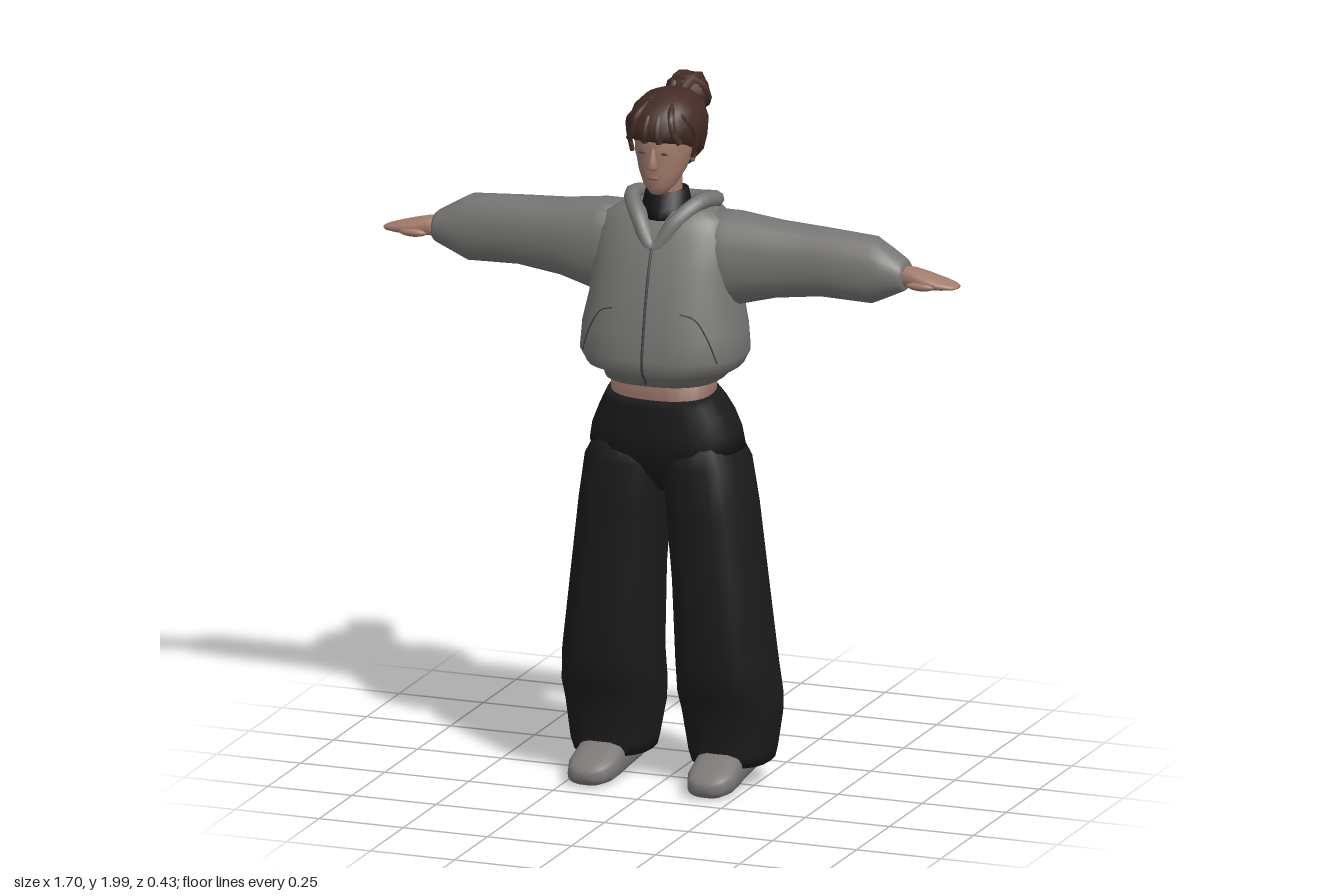
import * as THREE from 'three';

const mat = (name, color) => {
  const m = new THREE.MeshStandardMaterial({ color });
  m.name = name;
  return m;
};
const M = {
  jacket: mat('jacketGrey', 0x777674), seam: mat('seamGrey', 0x3c3b3a),
  pants: mat('trouserBlack', 0x1b1b1b), shoe: mat('shoeGrey', 0x7c7977),
  skin: mat('skin', 0xa37c6c), hair: mat('hairBrown', 0x442c26),
  collar: mat('collarBlack', 0x131315), lips: mat('lips', 0x8f5f56), eye: mat('eyeBrown', 0x5a4238),
};

// Axis order: along, first cross direction, second cross direction
const AXES = { y: [1, 0, 2], x: [0, 2, 1], z: [2, 1, 0] };

// Closed skin through superellipse sections [t, cu, cv, ru, rv, slope]
function loft(axis, sections, n = 2.4, seg = 20) {
  const [ia, iu, iv] = AXES[axis], pos = [], idx = [];
  const put = (t, u, v) => {
    const p = [0, 0, 0];
    p[ia] = t; p[iu] = u; p[iv] = v;
    pos.push(...p);
  };
  const pw = (c) => Math.sign(c) * Math.abs(c) ** (2 / n);
  for (const [t, cu, cv, ru, rv, slope = 0] of sections)
    for (let j = 0; j < seg; j++) {
      const a = (j / seg) * Math.PI * 2, v = rv * pw(Math.sin(a));
      put(t + slope * v, cu + ru * pw(Math.cos(a)), cv + v);
    }
  const last = sections.length - 1, base = pos.length / 3;
  for (const s of [sections[0], sections[last]]) put(s[0], s[1], s[2]);
  for (let j = 0; j < seg; j++) {
    const k = (j + 1) % seg;
    for (let i = 0; i < last; i++) {
      const a = i * seg + j, b = i * seg + k;
      idx.push(a, a + seg, b, b, a + seg, b + seg);
    }
    idx.push(base, j, k, base + 1, last * seg + k, last * seg + j);
  }
  const g = new THREE.BufferGeometry();
  g.setAttribute('position', new THREE.Float32BufferAttribute(pos, 3));
  g.setIndex(idx);
  g.computeVertexNormals();
  return g;
}

const curve = (pts, closed = false) =>
  new THREE.CatmullRomCurve3(pts.map((p) => new THREE.Vector3(...p)), closed);
const tube = (pts, r, closed = false, segs = 16, sides = 6) =>
  new THREE.TubeGeometry(curve(pts, closed), segs, r, sides, closed);
const blob = (x, y, z, rx, ry, rz, w = 14, h = 10) =>
  new THREE.SphereGeometry(1, w, h).scale(rx, ry, rz).translate(x, y, z);

const TORSO_N = 2.5;
const TORSO = [
  [1.172, 0, 0.02, 0.165, 0.16], [1.2, 0, 0.025, 0.172, 0.168], [1.21, 0, 0.03, 0.215, 0.177],
  [1.25, 0, 0.035, 0.237, 0.18], [1.32, 0, 0.033, 0.232, 0.172], [1.4, 0, 0.026, 0.215, 0.163],
  [1.5, 0, 0.015, 0.207, 0.147], [1.58, 0, 0.008, 0.203, 0.122], [1.63, 0, 0.005, 0.18, 0.098],
  [1.655, 0, 0.005, 0.125, 0.075], [1.665, 0, 0.008, 0.07, 0.05],
];

// Point on the front of the jacket
function onJacket(x, y) {
  let i = 0;
  while (i < TORSO.length - 2 && TORSO[i + 1][0] < y) i++;
  const a = TORSO[i], b = TORSO[i + 1], f = (y - a[0]) / (b[0] - a[0]);
  const [, , cz, rx, rz] = a.map((v, k) => v + (b[k] - v) * f);
  const c = Math.max(0, 1 - Math.abs(x / rx) ** TORSO_N);
  return [x, y, cz + rz * c ** (1 / TORSO_N)];
}

export function createModel() {
  const root = new THREE.Group();
  root.name = 'figure';
  const add = (name, geo, material) => {
    const m = new THREE.Mesh(geo, material);
    m.name = name;
    root.add(m);
    return m;
  };

  // Jacket body and zip
  add('jacketBody', loft('y', TORSO, TORSO_N, 28), M.jacket);
  const zipY = [1.18, 1.2, 1.21, 1.25, 1.32, 1.4, 1.5, 1.56];
  add('zip', tube(zipY.map((y) => onJacket(0, y)), 0.004, false, 30), M.seam);

  // Hood hanging down the back, with its rim forming the front V
  add('hoodBag', loft('y', [
    [1.41, 0, -0.06, 0.06, 0.07], [1.47, 0, -0.065, 0.11, 0.095], [1.53, 0, -0.075, 0.13, 0.11],
    [1.58, 0, -0.08, 0.135, 0.127], [1.615, 0, -0.08, 0.13, 0.125, 0.1], [1.645, 0, -0.075, 0.11, 0.105, 0.25],
    [1.635, 0, -0.065, 0.06, 0.06, 0.25],
  ], 2.2, 24), M.jacket);
  add('hoodRim', tube([
    [0, 1.555, 0.12], [0.055, 1.63, 0.095], [0.1, 1.673, 0.03], [0.112, 1.66, -0.06], [0.075, 1.64, -0.13],
    [0, 1.628, -0.16], [-0.075, 1.64, -0.13], [-0.112, 1.66, -0.06], [-0.1, 1.673, 0.03], [-0.055, 1.63, 0.095],
  ], 0.023, true, 48, 8), M.jacket);

  // Bare waist and trouser top
  add('waist', loft('y', [[1.06, 0, 0.045, 0.146, 0.099], [1.22, 0, 0.045, 0.153, 0.105]], 2.4, 28), M.skin);
  add('trouserHips', loft('y', [
    [0.84, 0, 0.01, 0.02, 0.05], [0.9, 0, 0.01, 0.1, 0.105], [0.97, 0, 0.014, 0.222, 0.138],
    [1.02, 0, 0.017, 0.213, 0.138], [1.07, 0, 0.021, 0.192, 0.134], [1.11, 0, 0.035, 0.172, 0.12, -0.08],
    [1.135, 0, 0.047, 0.158, 0.108, -0.12],
  ], 2.4, 28), M.pants);

  for (const s of [1, -1]) {
    const side = s > 0 ? 'left' : 'right';
    // Sleeve, hand and thumb run outwards along x
    const along = (secs, n) => {
      const out = secs.map(([x, ...r]) => [x * s, ...r]);
      return loft('x', s > 0 ? out : out.reverse(), n);
    };
    add(side + 'Sleeve', along([
      [0.08, 0, 1.53, 0.1, 0.12], [0.2, -0.006, 1.515, 0.103, 0.133], [0.32, -0.018, 1.521, 0.089, 0.109],
      [0.45, -0.022, 1.525, 0.08, 0.097], [0.6, -0.025, 1.517, 0.077, 0.094],
      [0.64, -0.022, 1.515, 0.068, 0.073], [0.69, -0.015, 1.513, 0.052, 0.046], [0.7, -0.014, 1.512, 0.042, 0.038],
    ], 2.2), M.jacket);
    add(side + 'Hand', along([
      [0.66, -0.012, 1.512, 0.034, 0.03], [0.72, -0.012, 1.512, 0.036, 0.027], [0.76, -0.01, 1.506, 0.045, 0.023],
      [0.81, -0.012, 1.5, 0.041, 0.014], [0.84, -0.015, 1.496, 0.03, 0.008], [0.852, -0.016, 1.495, 0.016, 0.004],
    ]), M.skin);
    add(side + 'Thumb', blob(0, 0, 0, 0.042, 0.012, 0.013, 10, 8), M.skin)
      .position.set(0.755 * s, 1.497, 0.028);

    // Curved pocket opening
    add(side + 'PocketSeam', tube([[0.1, 1.39], [0.14, 1.375], [0.175, 1.32], [0.2, 1.25]]
      .map(([x, y]) => onJacket(x * s, y)), 0.002), M.seam);

    // Wide trouser leg
    add(side + 'TrouserLeg', loft('y', [
      [0.066, 0.175, -0.037, 0.11, 0.12], [0.1, 0.175, -0.032, 0.12, 0.122], [0.2, 0.173, -0.034, 0.138, 0.119],
      [0.26, 0.172, -0.02, 0.143, 0.134], [0.36, 0.168, -0.003, 0.136, 0.148], [0.6, 0.15, 0.003, 0.125, 0.146],
      [0.8, 0.13, 0.006, 0.122, 0.142], [0.93, 0.114, 0.011, 0.118, 0.139], [1.01, 0.1, 0.013, 0.09, 0.115],
    ].map(([y, x, ...r]) => [y, x * s, ...r]), 2.5), M.pants);

    // Shoe, heel to toe
    add(side + 'Shoe', loft('z', [
      [-0.155, 0.045, 0.17, 0.03, 0.03], [-0.13, 0.055, 0.17, 0.05, 0.05], [0, 0.057, 0.172, 0.055, 0.06],
      [0.08, 0.056, 0.175, 0.055, 0.07], [0.14, 0.043, 0.177, 0.04, 0.07],
      [0.185, 0.036, 0.178, 0.03, 0.054], [0.2, 0.034, 0.178, 0.018, 0.03],
    ].map(([z, y, x, ...r]) => [z, y, x * s, ...r]), 2.8), M.shoe);

    // Eye, ear and loose locks of hair
    add(side + 'Eye', blob(0.033 * s, 1.83, 0.127, 0.012, 0.004, 0.004, 8, 6), M.eye);
    add(side + 'Ear', blob(0.081 * s, 1.812, 0.032, 0.009, 0.024, 0.014, 8, 6), M.skin);
    add(side + 'TempleLock', tube([
      [0.03 * s, 1.955, 0.08], [0.085 * s, 1.92, 0.085], [0.1 * s, 1.87, 0.06], [0.09 * s, 1.81, 0.055],
    ], 0.007, false, 10, 5), M.hair);
    for (const [i, x] of [0.015, 0.05].entries())
      add(side + 'Fringe' + (i + 1), tube([
        [x * 0.6 * s, 1.965, 0.06], [x * s, 1.93, 0.12], [x * 1.2 * s, 1.89, 0.141 - i * 0.015],
        [x * 1.5 * s, 1.862, 0.137 - i * 0.02],
      ], 0.01, false, 10, 5), M.hair);
  }

  // Neck, dark collar and face
  add('neck', loft('y', [[1.62, 0, 0.02, 0.045, 0.045], [1.78, 0, 0.035, 0.046, 0.048]], 2), M.skin);
  add('collar', loft('y', [
    [1.63, 0, 0.028, 0.076, 0.078], [1.66, 0, 0.02, 0.07, 0.068], [1.705, 0, 0.018, 0.06, 0.057],
  ], 2), M.collar);
  add('head', loft('y', [
    [1.707, 0, 0.085, 0.022, 0.028], [1.73, 0, 0.074, 0.044, 0.05], [1.77, 0, 0.053, 0.064, 0.077],
    [1.82, 0, 0.035, 0.079, 0.096], [1.88, 0, 0.03, 0.086, 0.106], [1.93, 0, 0.022, 0.075, 0.09],
  ], 2.1, 24), M.skin);
  add('nose', loft('y', [
    [1.783, 0, 0.13, 0.012, 0.012], [1.793, 0, 0.135, 0.015, 0.02], [1.81, 0, 0.13, 0.01, 0.017],
    [1.845, 0, 0.128, 0.006, 0.008],
  ], 2, 8), M.skin);
  add('lips', blob(0, 1.758, 0.128, 0.018, 0.006, 0.005, 10, 6), M.lips);

  // Swept-back hair, rounded in at the nape
  add('hairCap', loft('y', [
    [1.77, 0, -0.02, 0.055, 0.05], [1.812, 0, -0.018, 0.086, 0.095, 0.2], [1.853, 0, 0.012, 0.103, 0.133, 0.12],
    [1.9, 0, 0.011, 0.107, 0.134, 0.06], [1.942, 0, 0.008, 0.092, 0.115], [1.968, 0, 0.005, 0.065, 0.082],
    [1.982, 0, 0.002, 0.028, 0.038],
  ], 2.1, 22), M.hair);

  // Bun wrapped with coiled strands
  add('bunBase', blob(0, 1.895, -0.115, 0.06, 0.055, 0.05, 10, 8), M.hair);
  add('bun', blob(0, 1.935, -0.14, 0.062, 0.06, 0.06, 10, 8), M.hair);
  for (let i = 0; i < 3; i++) {
    const coil = add('bunCoil' + (i + 1), new THREE.TorusGeometry(0.05, 0.018, 6, 14), M.hair);
    coil.position.set(0, 1.934, -0.143);
    coil.rotation.set(0.5 + i * 0.8, i * 1.1, 0.3);
  }

  return root;
}
